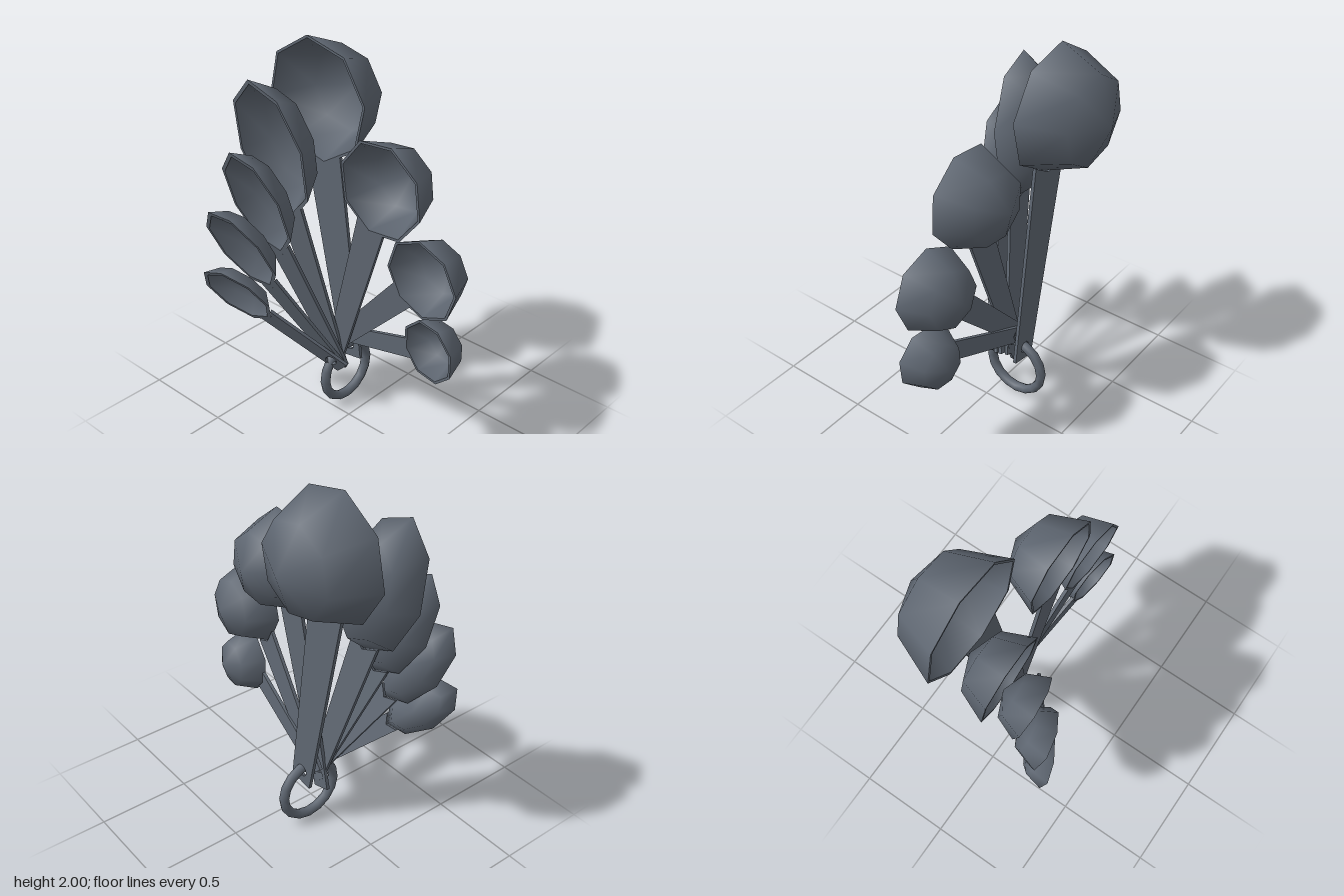
import * as THREE from 'three';
import { mergeGeometries } from 'three/addons/utils/BufferGeometryUtils.js';

const steel = new THREE.MeshStandardMaterial({ color: 0x5f6772, side: THREE.DoubleSide });
steel.name = 'dark steel';

// Eight-sided double-walled bowl: half width b, half length a, depth d; opens to +z
function bowlGeometry(b, a, d) {
  const wall = 0.014;
  const shell = (t) =>
    new THREE.SphereGeometry(1, 8, 2, 0, Math.PI * 2, Math.PI / 2, Math.PI / 2)
      .rotateX(Math.PI / 2)
      .scale(b - t, a - t, d - t);
  const rim = new THREE.RingGeometry(1 - wall / b, 1, 8).scale(b, a, 1);
  return mergeGeometries([shell(0), shell(wall), rim]);
}

// Flat tapered handle, notched to fit the rim and pierced near its end
function handleGeometry(b, a, length, topWidth, endWidth) {
  const t = topWidth / 2, e = endWidth / 2;
  const notch = (0.293 * a * t) / (0.707 * b);
  const shape = new THREE.Shape([
    new THREE.Vector2(-e, -length),
    new THREE.Vector2(e, -length),
    new THREE.Vector2(t, -a + notch),
    new THREE.Vector2(0, -a),
    new THREE.Vector2(-t, -a + notch),
  ]);
  const hole = new THREE.Path();
  hole.absarc(0, -length + 0.075, 0.033, 0, Math.PI * 2, true);
  shape.holes.push(hole);
  return new THREE.ExtrudeGeometry(shape, { depth: 0.018, bevelEnabled: false, curveSegments: 5 })
    .translate(0, 0, -0.019);
}

function makeSpoon({ name, center, end, size, widths }) {
  const [b, a, d] = size;
  const c = new THREE.Vector3(...center);
  const axis = c.clone().sub(new THREE.Vector3(...end));
  const length = axis.length();
  const up = axis.normalize();
  const side = new THREE.Vector3(up.y, -up.x, 0).normalize();
  const normal = new THREE.Vector3().crossVectors(side, up);

  const spoon = new THREE.Group();
  spoon.name = name;
  const bowl = new THREE.Mesh(bowlGeometry(b, a, d), steel);
  bowl.name = 'bowl';
  const handle = new THREE.Mesh(handleGeometry(b, a, length, ...widths), steel);
  handle.name = 'handle';
  spoon.add(bowl, handle);
  spoon.quaternion.setFromRotationMatrix(new THREE.Matrix4().makeBasis(side, up, normal));
  spoon.position.copy(c);
  return spoon;
}

// center = middle of the bowl's rim, end = tip of the handle, widths = top and end
const spoons = [
  // Round spoons
  { name: 'roundSpoonLargest', center: [-0.345, 1.675, -0.135], end: [-0.117, 0.26, -0.14], size: [0.328, 0.328, 0.328], widths: [0.23, 0.14] },
  { name: 'roundSpoonLarge', center: [0.177, 1.395, -0.02], end: [-0.185, 0.215, -0.06], size: [0.258, 0.258, 0.262], widths: [0.17, 0.105] },
  { name: 'roundSpoonMedium', center: [0.45, 1.022, -0.01], end: [-0.19, 0.34, -0.1], size: [0.22, 0.22, 0.225], widths: [0.145, 0.1] },
  { name: 'roundSpoonSmall', center: [0.502, 0.638, -0.015], end: [-0.18, 0.39, -0.12], size: [0.172, 0.172, 0.175], widths: [0.11, 0.09] },
  // Oval spoons
  { name: 'ovalSpoonLargest', center: [-0.42, 1.465, 0.11], end: [-0.13, 0.25, -0.06], size: [0.225, 0.375, 0.215], widths: [0.17, 0.1] },
  { name: 'ovalSpoonLarge', center: [-0.413, 1.215, 0.225], end: [-0.1, 0.26, -0.04], size: [0.17, 0.305, 0.16], widths: [0.14, 0.1] },
  { name: 'ovalSpoonMedium', center: [-0.45, 0.975, 0.31], end: [-0.08, 0.26, -0.02], size: [0.148, 0.265, 0.135], widths: [0.115, 0.09] },
  { name: 'ovalSpoonSmall', center: [-0.467, 0.712, 0.335], end: [-0.05, 0.28, 0], size: [0.122, 0.215, 0.115], widths: [0.1, 0.09] },
];

export function createModel() {
  const model = new THREE.Group();
  model.name = 'measuringSpoons';
  for (const spec of spoons) model.add(makeSpoon(spec));

  // Ring that holds the spoons together
  const ring = new THREE.Mesh(new THREE.TorusGeometry(0.162, 0.026, 8, 16), steel);
  ring.name = 'ring';
  ring.rotation.set(0, Math.PI / 2, 0.03);
  ring.position.set(-0.123, 0.19, -0.11);
  model.add(ring);
  return model;
}
